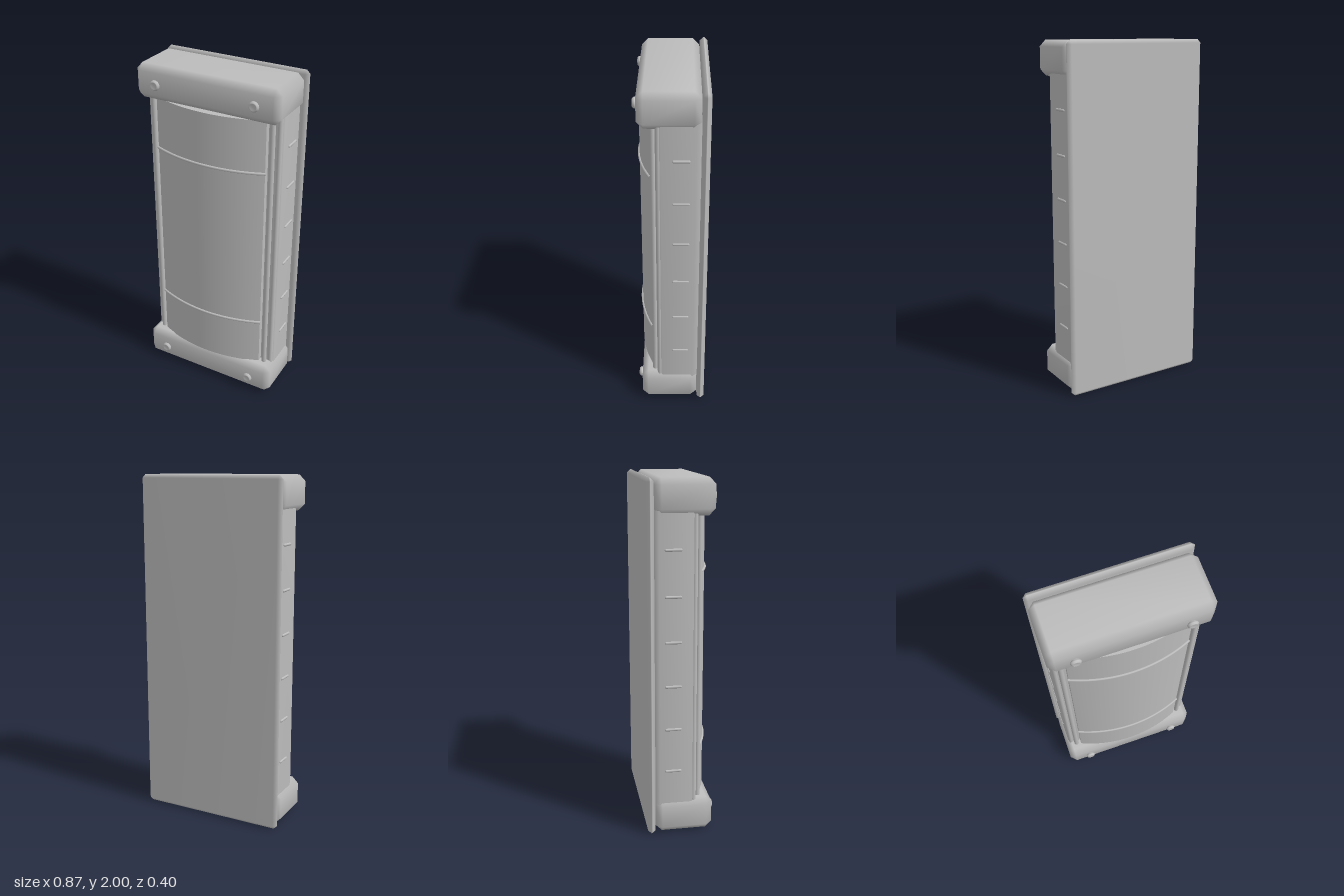
import * as THREE from 'three';
import { mergeVertices } from 'three/addons/utils/BufferGeometryUtils.js';
import { ConvexGeometry } from 'three/addons/geometries/ConvexGeometry.js';

// Box with cut edges and smooth shading across the cuts
function chamferBox(w, h, d, c) {
  const points = [];
  for (const sx of [-1, 1]) for (const sy of [-1, 1]) for (const sz of [-1, 1]) {
    for (let full = 0; full < 3; full++) {
      const cut = (i) => (i === full ? 0 : c);
      points.push(new THREE.Vector3(sx * (w / 2 - cut(0)), sy * (h / 2 - cut(1)), sz * (d / 2 - cut(2))));
    }
  }
  let g = new ConvexGeometry(points);
  g.deleteAttribute('normal');
  g = mergeVertices(g, 1e-4);
  g.computeVertexNormals();
  return g;
}

export function createModel() {
  const model = new THREE.Group();
  model.name = 'wallLamp';
  const grey = new THREE.MeshStandardMaterial({ color: 0xbcbcbc });
  grey.name = 'light grey';

  function add(name, geometry, x, y, z) {
    const mesh = new THREE.Mesh(geometry, grey);
    mesh.name = name;
    mesh.position.set(x, y, z);
    model.add(mesh);
    return mesh;
  }

  // Wall plate and main housing
  add('backPlate', chamferBox(0.874, 2, 0.044, 0.02), 0, 1, -0.178);
  add('housing', chamferBox(0.824, 1.74, 0.235, 0.027), 0, 1, -0.0385);

  // End caps with two domed screws each
  const cap = chamferBox(0.862, 0.196, 0.326, 0.036);
  const screw = new THREE.LatheGeometry([
    [0.022, -0.012], [0.022, 0.002], [0.029, 0.008], [0.029, 0.014], [0.023, 0.022],
    [0.019, 0.024], [0.015, 0.021], [0, 0.021],
  ].map(([r, h]) => new THREE.Vector2(r, h)), 24).rotateX(Math.PI / 2);
  for (const [label, y, screwY] of [['bottom', 0.101, 0.1], ['top', 1.902, 1.9]]) {
    add(label + 'Cap', cap, 0, y, 0.01);
    for (const s of [-1, 1]) add(label + 'Screw', screw, s * 0.295, screwY, 0.172);
  }

  // Curved diffuser: a shallow circular arc swept vertically
  const R = 0.85, halfWidth = 0.335, half = Math.asin(halfWidth / R);
  const outline = new THREE.Shape();
  outline.moveTo(-halfWidth, 0);
  outline.lineTo(halfWidth, 0);
  outline.absarc(0, 0.178 - R, R, Math.PI / 2 - half, Math.PI / 2 + half, false);
  outline.closePath();
  const diffuser = new THREE.ExtrudeGeometry(outline, { depth: 1.61, bevelEnabled: false, curveSegments: 32 });
  diffuser.rotateX(-Math.PI / 2).scale(1, 1, -1);
  // Mirroring turned the faces inside out: swap corners and reflect normals
  for (const attribute of Object.values(diffuser.attributes)) {
    const n = attribute.itemSize, a = attribute.array;
    for (let i = 0; i < attribute.count; i += 3) for (let k = 0; k < n; k++) {
      const p = (i + 1) * n + k, q = (i + 2) * n + k;
      [a[p], a[q]] = [a[q], a[p]];
    }
  }
  diffuser.computeVertexNormals();
  add('diffuser', diffuser, 0, 0.195, 0);

  // Thin bands over the diffuser
  const arc = [];
  for (let i = 0; i <= 16; i++) {
    const t = half * 1.01 * (i / 8 - 1);
    arc.push(new THREE.Vector3(R * Math.sin(t), 0, 0.18 - R + R * Math.cos(t)));
  }
  const band = new THREE.TubeGeometry(new THREE.CatmullRomCurve3(arc), 40, 0.008, 8);
  for (const y of [0.5, 1.5]) add('band', band, 0, y, 0);

  // Vertical rods beside the diffuser and short ribs on the sides
  const rod = new THREE.CylinderGeometry(0.015, 0.015, 1.66, 16);
  const rib = new THREE.CapsuleGeometry(0.008, 0.078, 4, 10).rotateX(Math.PI / 2);
  for (const s of [-1, 1]) {
    add('frontRod', rod, s * 0.364, 1, 0.094);
    add('sideRod', rod, s * 0.393, 1, 0.066);
    for (let i = 0; i < 6; i++) add('sideRib', rib, s * 0.411, 0.38 + i * 0.25, -0.053);
  }
  return model;
}
